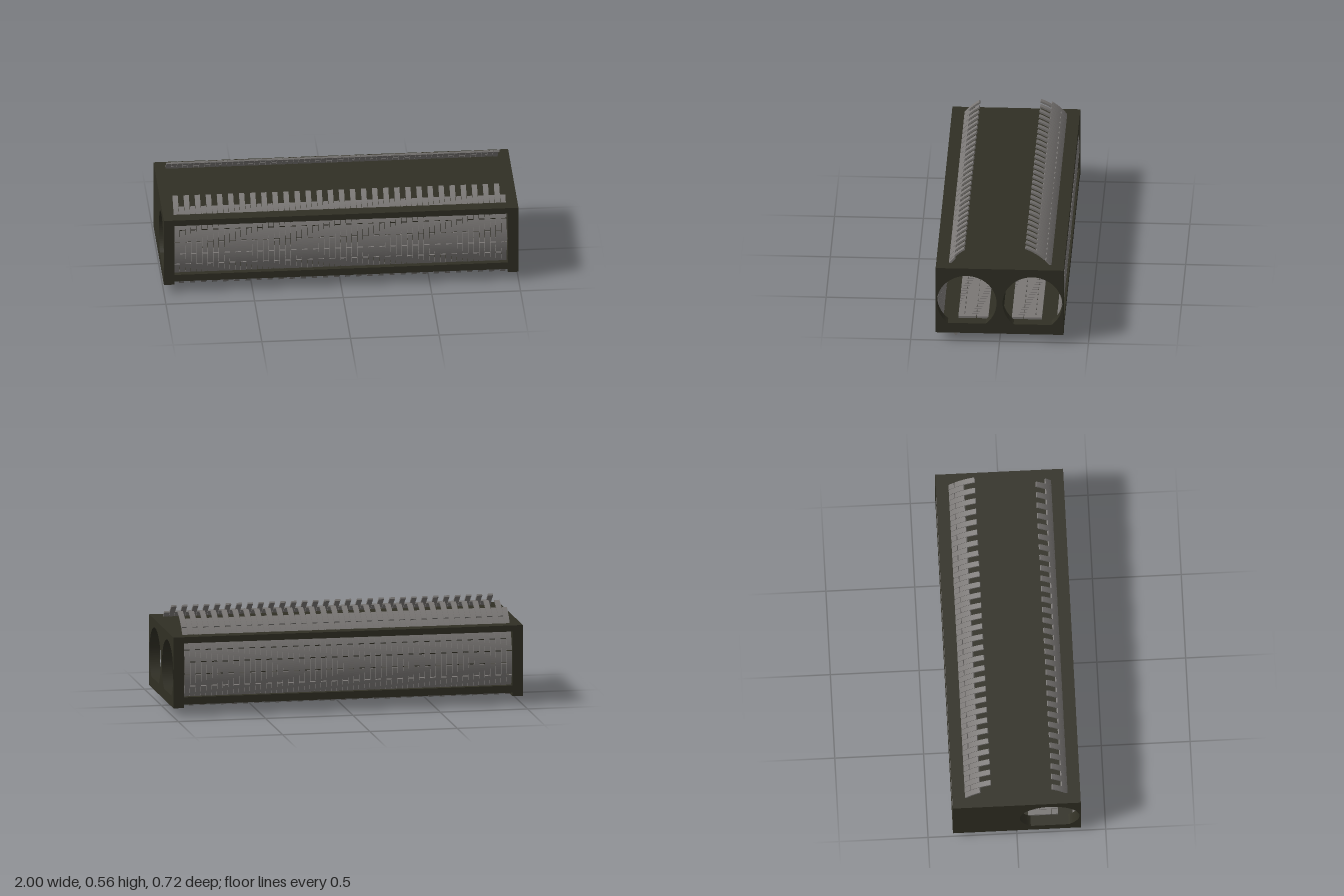
import * as THREE from 'three';
import { mergeGeometries } from 'three/addons/utils/BufferGeometryUtils.js';

const DEG = Math.PI / 180;
const STRIPS = 30, PITCH = 0.0625, X0 = -0.94;   // paired link strips along x
const HALF = 11.84;                              // half a link, in degrees
const R_OUT = 0.335, R_IN = 0.325;

export function createModel() {
  const model = new THREE.Group();
  const casing = new THREE.MeshStandardMaterial({ color: 0x302f24 });
  casing.name = 'dark olive casing';
  const metal = new THREE.MeshStandardMaterial({ color: 0x7a7775 });
  metal.name = 'grey metal';

  const add = (name, geo, mat, parent = model) => {
    const mesh = new THREE.Mesh(geo, mat);
    mesh.name = name;
    parent.add(mesh);
    return mesh;
  };
  const box = (name, x0, x1, y0, y1, z0, z1, mat, parent) => {
    const m = add(name, new THREE.BoxGeometry(x1 - x0, y1 - y0, z1 - z0), mat, parent);
    m.position.set((x0 + x1) / 2, (y0 + y1) / 2, (z0 + z1) / 2);
    return m;
  };
  // Extrudes a (z, y) outline along x, from x = 0 to x = width
  const extrudeX = (shape, width, curveSegments) => {
    const geo = new THREE.ExtrudeGeometry(shape, { depth: width, bevelEnabled: false, curveSegments });
    return geo.rotateY(-Math.PI / 2).translate(width, 0, 0);
  };

  // End plates: round openings with a flat floor
  const endPlate = (name, x, holes) => {
    const s = new THREE.Shape();
    s.moveTo(-0.36, 0.06);
    s.lineTo(0.36, 0.06);
    s.lineTo(0.36, 0.465);
    s.lineTo(-0.36, 0.465);
    s.closePath();
    for (const z of holes) {
      const h = new THREE.Path();
      const a = Math.asin(0.13 / 0.168);
      h.absarc(z, 0.251, 0.168, -a, Math.PI + a, false);
      h.closePath();
      s.holes.push(h);
    }
    add(name, extrudeX(s, 0.06, 32), casing).position.x = x;
  };
  endPlate('leftEndPlate', 0.94, [0.185, -0.185]);
  endPlate('rightEndPlate', -1, [0.185]);

  // Roof, floor and the wall between the two bays
  box('roof', -0.94, 0.94, 0.43, 0.465, -0.36, 0.36, casing);
  box('floor', -0.94, 0.94, 0.08, 0.121, -0.36, 0.36, casing);
  box('dividingWall', -0.94, 0.94, 0.121, 0.43, -0.015, 0.015, casing);

  // One strip of four curved links, starting at an angle above +z
  const linkStrip = (start) => {
    const links = [];
    for (let i = 0; i < 4; i++) {
      const a = (start + i * 2 * HALF + 0.5) * DEG;
      const b = (start + (i + 1) * 2 * HALF - 0.5) * DEG;
      const s = new THREE.Shape();
      s.absarc(0, 0, R_OUT, a, b, false);
      s.absarc(0, 0, R_IN, b, a, true);
      s.closePath();
      links.push(extrudeX(s, 0.0295, 6));
    }
    return mergeGeometries(links);
  };

  // Curved link curtains; alternate strips are staggered by half a link
  const curtain = (name, bottom, evenShift, oddShift, mirrored) => {
    const group = new THREE.Group();
    group.name = name;
    const strips = [linkStrip(bottom + evenShift * HALF), linkStrip(bottom + oddShift * HALF)];
    for (let i = 0; i < STRIPS * 2; i++) {
      const x = X0 + i * PITCH / 2 + 0.001;
      const mesh = add('linkStrip', strips[i % 2], metal, group);
      // The back is turned half round, so its strips run the other way
      mesh.position.x = mirrored ? -x - 0.0295 : x;
    }
    if (mirrored) group.rotation.y = Math.PI;
    group.position.set(0, 0.26, mirrored ? -0.024 : 0.024);
    model.add(group);
  };
  curtain('frontCurtain', -48.6, 1, 0, false);
  curtain('backCurtain', -37, 0, 1, true);

  // Flat links lying on the floor of each bay, with staggered joints
  for (const side of [1, -1]) {
    const tray = new THREE.Group();
    tray.name = side > 0 ? 'frontFloorLinks' : 'backFloorLinks';
    const pieces = [];
    for (let i = 0; i < STRIPS * 2; i++) {
      const joint = i % 2 ? 0.133 : 0.2;
      for (const [z0, z1] of [[0.066, joint - 0.002], [joint + 0.002, 0.235]]) {
        pieces.push(new THREE.BoxGeometry(0.0295, 0.013, z1 - z0)
          .translate(X0 + i * PITCH / 2 + 0.016, 0.1265, side * (z0 + z1) / 2));
      }
    }
    add('floorLinks', mergeGeometries(pieces), metal, tray);
    model.add(tray);
  }

  return model;
}
